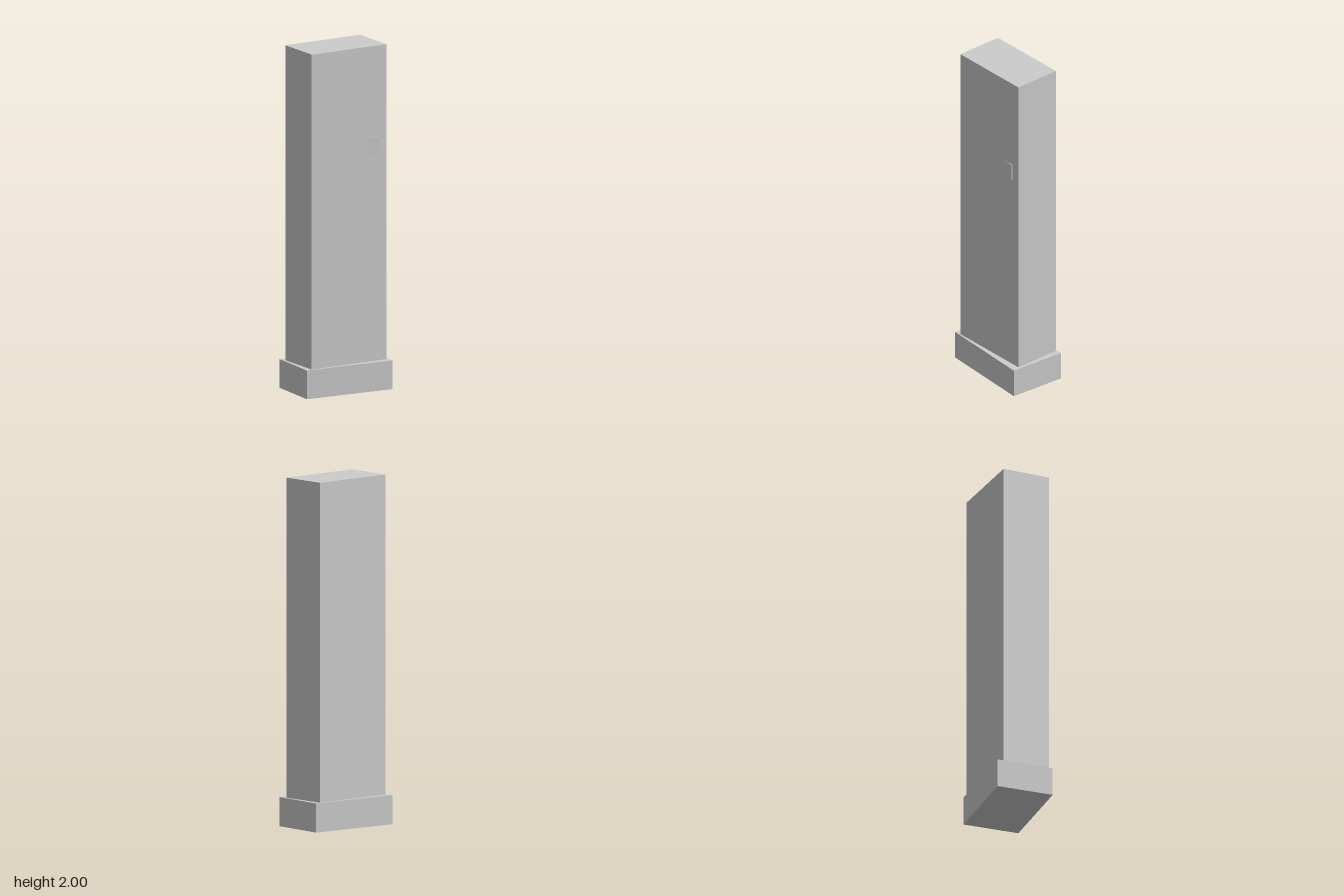
import * as THREE from 'three';

export function createModel() {
  const group = new THREE.Group();
  const material = new THREE.MeshStandardMaterial({ color: 0xcccccc, flatShading: true });

  const addBox = (name, size, position, turn = 0) => {
    const mesh = new THREE.Mesh(new THREE.BoxGeometry(...size), material);
    mesh.name = name;
    mesh.position.set(...position);
    mesh.rotation.y = turn;
    group.add(mesh);
  };

  // Low plinth
  addBox('base', [0.551, 0.167, 0.334], [0, 0.0835, 0]);
  // Tall slab, turned slightly on the plinth
  addBox('pillar', [0.501, 1.833, 0.283], [0, 1.0835, -0.001], 0.07);
  // Small plaque, square to the plinth and partly sunk into the slab
  addBox('plaque', [0.1, 0.1, 0.02], [0.158, 1.42, 0.1215]);

  return group;
}
